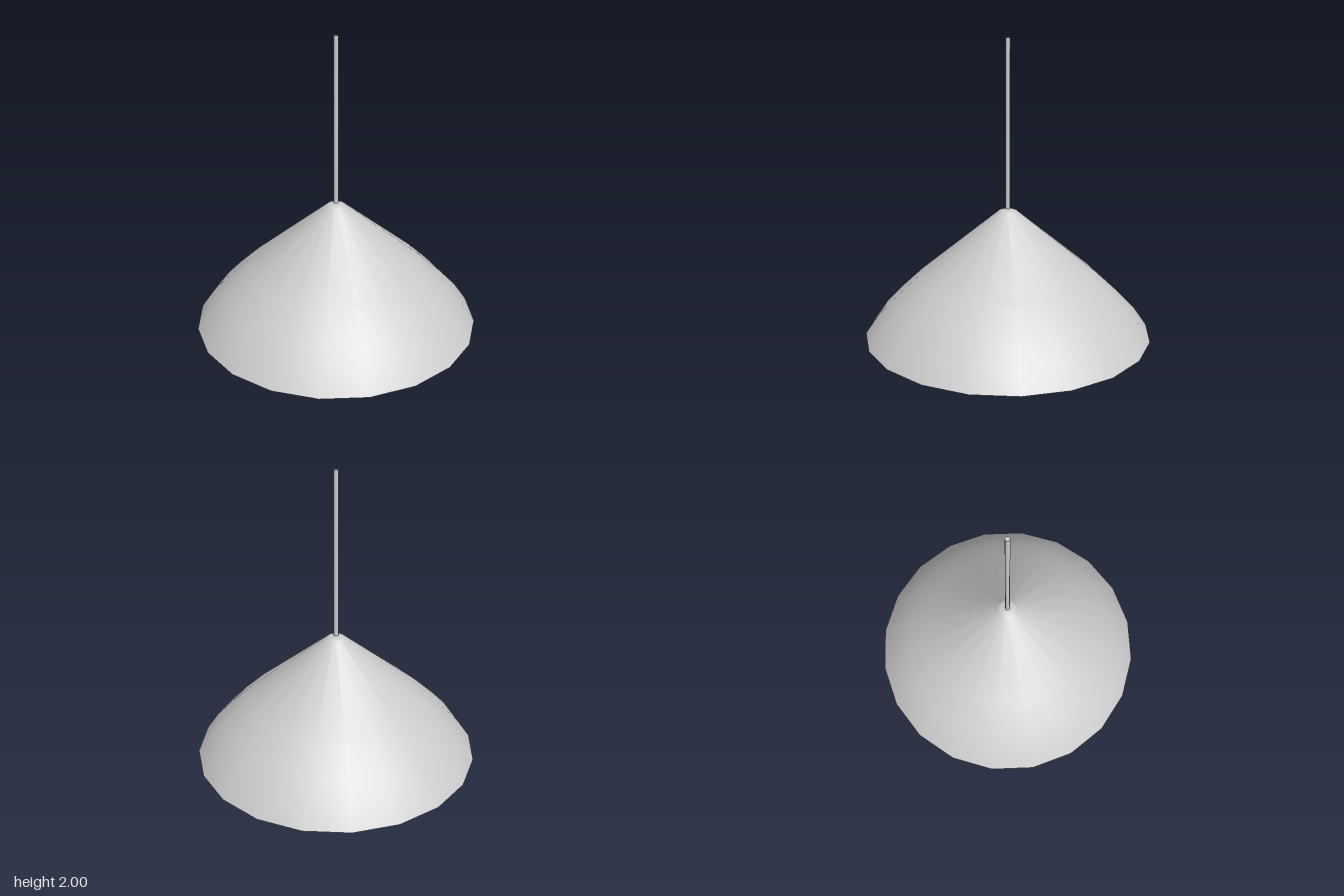
import * as THREE from 'three';
import { mergeGeometries } from 'three/addons/utils/BufferGeometryUtils.js';

const SIDES = 20;
const toPoints = (list) => list.map(([r, y]) => new THREE.Vector2(r, y));

// Lathe whose sides are faceted around the axis but smooth along the profile
function facetedLathe(points) {
  const wedges = [];
  const step = (Math.PI * 2) / SIDES;
  for (let i = 0; i < SIDES; i++) {
    const wedge = new THREE.LatheGeometry(points, 1, i * step, step);
    wedge.computeVertexNormals();
    wedges.push(wedge);
  }
  return mergeGeometries(wedges);
}

export function createModel() {
  const group = new THREE.Group();
  const material = new THREE.MeshStandardMaterial({ color: 0xcccccc });

  const add = (name, geometry, y = 0) => {
    const mesh = new THREE.Mesh(geometry, material);
    mesh.name = name;
    mesh.position.y = y;
    group.add(mesh);
    return mesh;
  };

  // Outer shade, smooth, flaring down to the rim
  const outer = [[0.98, 0], [0.89, 0.13], [0.775, 0.25], [0.615, 0.4], [0.06, 0.855]];
  add('shadeOuter', new THREE.LatheGeometry(toPoints(outer), SIDES));

  // Shallow cap closing the top of the shade
  add('shadeCap', new THREE.LatheGeometry(toPoints([[0.06, 0.855], [0.03, 0.865], [0, 0.868]]), SIDES));

  // Inner shade, listed from top to bottom so that it faces inwards
  const inner = [[0, 0.8], [0.04, 0.785], [0.56, 0.355], [0.715, 0.21], [0.825, 0.1], [0.905, 0]];
  add('shadeInner', facetedLathe(toPoints(inner)));

  // Flat rim joining both walls, facing down
  add('shadeRim', new THREE.LatheGeometry(toPoints([[0.905, 0], [0.98, 0]]), SIDES));

  // Round bulb inside the shade
  add('bulb', new THREE.SphereGeometry(0.3, 32, 20), 0.4);

  // Hanging rod, reaching down to the bulb
  const bottom = 0.68;
  add('rod', new THREE.CylinderGeometry(0.016, 0.016, 2 - bottom, 10), (2 + bottom) / 2);

  return group;
}
